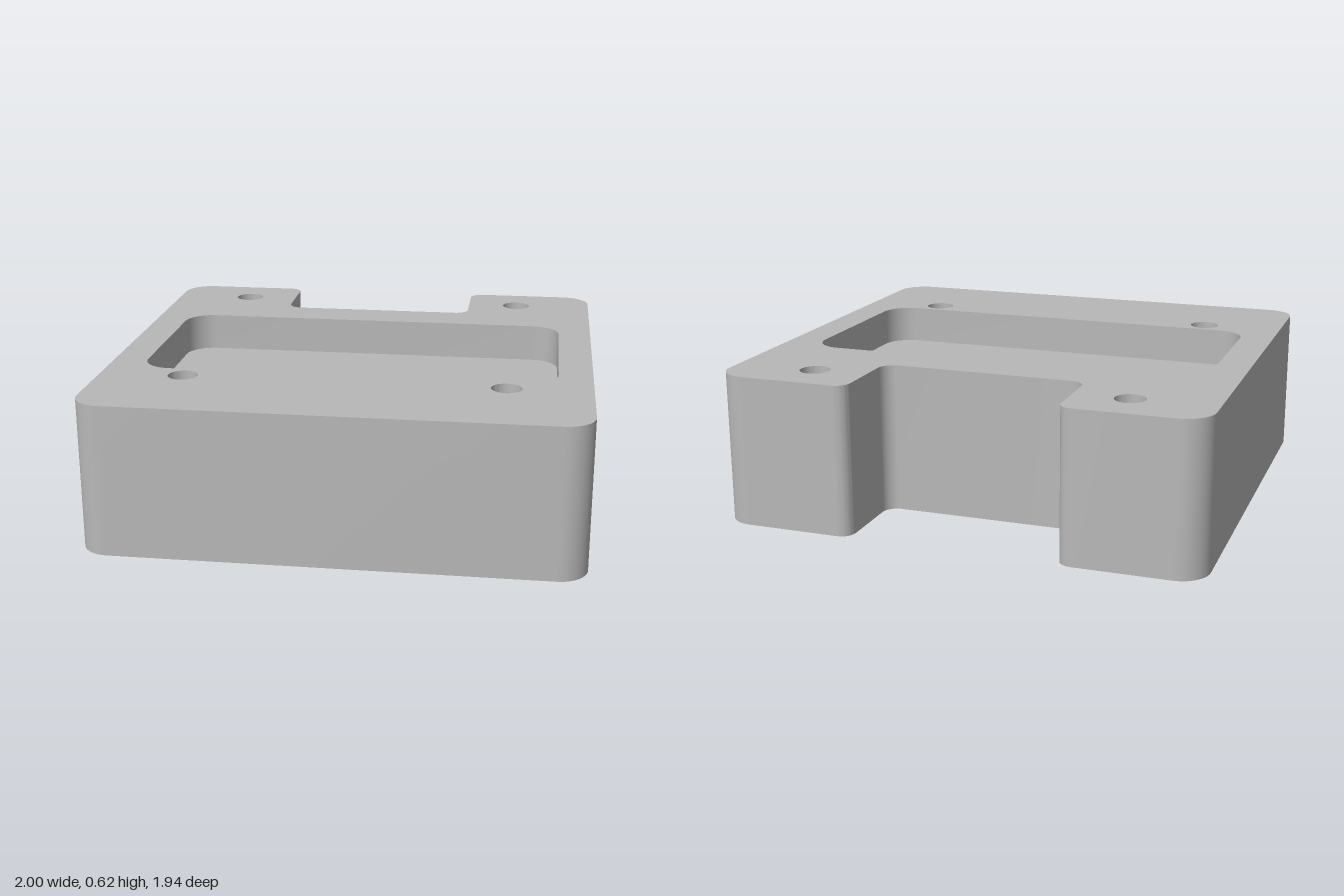
import * as THREE from 'three';
import { mergeGeometries, toCreasedNormals } from 'three/addons/utils/BufferGeometryUtils.js';

const HEIGHT = 0.622;
const V = (x, z) => new THREE.Vector2(x, -z); // plan point, seen from above

// Closed plan outline from [x, z, radius] corners, anticlockwise from above
function roundedOutline(corners, steps = 10) {
  const pts = corners.map(([x, z]) => V(x, z));
  const n = pts.length;
  return pts.flatMap((c, i) => {
    const r = corners[i][2];
    const u = pts[(i + n - 1) % n].clone().sub(c).normalize();
    const v = pts[(i + 1) % n].clone().sub(c).normalize();
    const centre = c.clone().addScaledVector(u, r).addScaledVector(v, r);
    return Array.from({ length: steps + 1 }, (_, k) => {
      const a = (k / steps) * Math.PI / 2;
      return centre.clone().addScaledVector(v, -r * Math.cos(a)).addScaledVector(u, -r * Math.sin(a));
    });
  });
}

function circleOutline(x, z, r, steps = 40) {
  return Array.from({ length: steps }, (_, k) => {
    const a = (k / steps) * Math.PI * 2;
    return V(x + r * Math.cos(a), z - r * Math.sin(a));
  });
}

// Vertical wall along an outline; inward walls face the middle of the outline
function wall(outline, y0, y1, inward = false) {
  const pts = inward ? [...outline].reverse() : outline;
  const pos = [];
  pts.forEach((p, i) => {
    const q = pts[(i + 1) % pts.length];
    pos.push(p.x, p.y, y0, q.x, q.y, y0, q.x, q.y, y1);
    pos.push(p.x, p.y, y0, q.x, q.y, y1, p.x, p.y, y1);
  });
  const g = new THREE.BufferGeometry();
  g.setAttribute('position', new THREE.Float32BufferAttribute(pos, 3));
  g.rotateX(-Math.PI / 2);
  return toCreasedNormals(g, 0.6);
}

// Flat face at height y, with holes, facing up or down
function cap(outline, holes, y, down = false) {
  const shape = new THREE.Shape(outline);
  shape.holes = holes.map((h) => new THREE.Path(h));
  let g = new THREE.ShapeGeometry(shape);
  if (down) g.setIndex(Array.from(g.index.array).reverse());
  g = g.toNonIndexed();
  g.deleteAttribute('uv');
  g.rotateX(-Math.PI / 2).translate(0, y, 0);
  g.computeVertexNormals();
  return g;
}

export function createModel() {
  const group = new THREE.Group();
  group.name = 'notchedEnclosure';
  const grey = new THREE.MeshStandardMaterial({ color: 0xb8b8b8 });
  grey.name = 'plain grey';

  const add = (name, ...parts) => {
    const mesh = new THREE.Mesh(parts.length > 1 ? mergeGeometries(parts) : parts[0], grey);
    mesh.name = name;
    group.add(mesh);
  };

  // Block plan with the notch in its back edge
  const body = roundedOutline([
    [-1, 0.97, 0.12], [1, 0.97, 0.12], [1, -0.97, 0.12],
    [0.43, -0.97, 0.055], [0.43, -0.6, 0.06], [-0.43, -0.6, 0.06],
    [-0.43, -0.97, 0.055], [-1, -0.97, 0.12],
  ]);
  const pocket = roundedOutline([
    [-0.86, 0.455, 0.12], [0.86, 0.455, 0.12], [0.86, -0.405, 0.12], [-0.86, -0.405, 0.12],
  ]);
  const grid = (x, zs, r) => zs.flatMap((z) => [-x, x].map((sx) => circleOutline(sx, z, r)));
  const topHoles = grid(0.656, [-0.773, 0.542], 0.062);
  const bottomHoles = grid(0.855, [-0.825, 0.825], 0.083);

  add('outerWalls', wall(body, 0, HEIGHT));
  add('topFace', cap(body, [pocket, ...topHoles], HEIGHT));
  add('bottomFace', cap(body, bottomHoles, 0, true));

  // Shallow pocket in the top
  const floor = HEIGHT - 0.16;
  add('pocket', wall(pocket, floor, HEIGHT, true), cap(pocket, [], floor));

  // Blind screw holes above, wider ones below
  const depth = 0.3;
  topHoles.forEach((h) => add('topScrewHole',
    wall(h, HEIGHT - depth, HEIGHT, true), cap(h, [], HEIGHT - depth)));
  bottomHoles.forEach((h) => add('bottomHole',
    wall(h, 0, depth, true), cap(h, [], depth, true)));

  return group;
}
